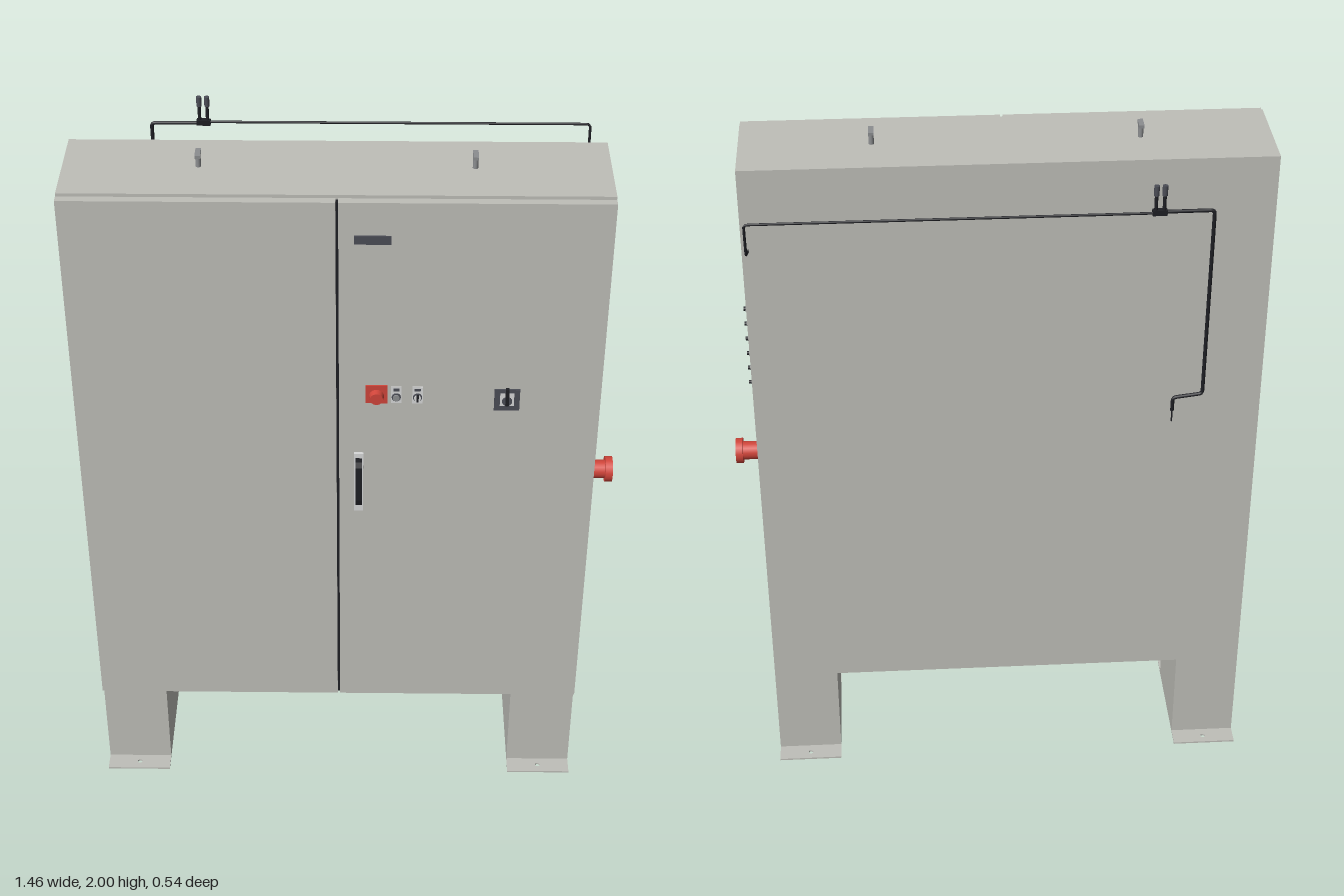
import * as THREE from 'three';

const mat = (name, color, extra = {}) => {
  const m = new THREE.MeshStandardMaterial({ color, ...extra });
  m.name = name;
  return m;
};

export function createModel() {
  const root = new THREE.Group();
  root.name = 'controlCabinet';

  const grey = mat('cabinetGrey', 0xbfbfb9);
  const red = mat('switchRed', 0xd1453a);
  const black = mat('black', 0x1e1f24);
  const dark = mat('darkGrey', 0x4b4d56);
  const light = mat('lightGrey', 0xd8d9d9);
  const steel = mat('steel', 0x8c8e90);

  const add = (name, geo, material, x = 0, y = 0, z = 0, parent = root) => {
    const m = new THREE.Mesh(geo, material);
    m.name = name;
    m.position.set(x, y, z);
    parent.add(m);
    return m;
  };
  // box given by its limits on each axis
  const box = (name, material, [x0, x1], [y0, y1], [z0, z1], parent = root) =>
    add(name, new THREE.BoxGeometry(x1 - x0, y1 - y0, z1 - z0), material,
      (x0 + x1) / 2, (y0 + y1) / 2, (z0 + z1) / 2, parent);
  // cylinder starting at a point and running along an axis
  const rod = (name, material, axis, r, len, [x, y, z], parent = root, rTop = r) => {
    const g = new THREE.CylinderGeometry(rTop, r, len, 24).translate(0, len / 2, 0);
    if (axis === 'x') g.rotateZ(-Math.PI / 2);
    if (axis === 'z') g.rotateX(Math.PI / 2);
    return add(name, g, material, x, y, z, parent);
  };
  const group = (name) => {
    const g = new THREE.Group();
    g.name = name;
    root.add(g);
    return g;
  };

  // Enclosure and the two doors with a dark seal showing in the gaps
  box('enclosure', grey, [-0.73, 0.66], [0.29, 1.96], [-0.07, 0.209]);
  box('doorSeal', dark, [-0.726, 0.656], [0.305, 1.947], [0.209, 0.213]);
  box('centreSeal', black, [-0.036, -0.029], [0.3, 1.95], [0.213, 0.228]);
  box('rightDoor', grey, [-0.73, -0.036], [0.297, 1.953], [0.212, 0.235]);
  box('leftDoor', grey, [-0.029, 0.66], [0.297, 1.953], [0.212, 0.235]);
  box('glandPlate', grey, [-0.53, 0.46], [0.281, 0.29], [-0.05, 0.19]);
  for (const x of [-0.035, 0.04]) {
    const g = group('cableGland');
    rod('glandNut', steel, 'y', 0.013, 0.008, [x, 0.273, 0.07], g);
    rod('glandBody', light, 'y', 0.01, 0.02, [x, 0.255, 0.07], g);
  }

  // Legs on drilled foot plates
  for (const [x0, x1] of [[-0.73, -0.545], [0.475, 0.66]]) {
    box('leg', grey, [x0, x1], [0.005, 0.29], [-0.07, 0.209]);
    const s = new THREE.Shape();
    s.moveTo(x0, -0.262).lineTo(x1, -0.262).lineTo(x1, 0.126).lineTo(x0, 0.126).closePath();
    for (const y of [-0.235, 0.1]) {
      s.holes.push(new THREE.Path().absarc((x0 + x1) / 2, y, 0.007, 0, Math.PI * 2, true));
    }
    const g = new THREE.ExtrudeGeometry(s, { depth: 0.005, bevelEnabled: false, curveSegments: 8 });
    add('footPlate', g.rotateX(-Math.PI / 2), grey);
  }

  // T-shaped lifting bolts
  for (const x of [-0.385, 0.315]) {
    const g = group('liftingBolt');
    rod('boltStem', steel, 'y', 0.007, 0.036, [x, 1.96, 0.067], g);
    box('boltBar', steel, [x - 0.007, x + 0.007], [1.992, 2], [0.047, 0.088], g);
  }

  // Door fittings
  box('namePlate', dark, [0.01, 0.104], [1.836, 1.86], [0.235, 0.239]);

  const stop = group('emergencyStop');
  box('stopPlate', red, [0.041, 0.099], [1.35, 1.406], [0.235, 0.239], stop);
  rod('stopStem', dark, 'z', 0.014, 0.01, [0.07, 1.378, 0.238], stop);
  rod('stopHead', red, 'z', 0.02, 0.016, [0.07, 1.378, 0.246], stop, 0.017);

  for (const [x, twist] of [[0.122, false], [0.178, true]]) {
    const g = group('controlButton');
    box('buttonPlate', light, [x - 0.014, x + 0.014], [1.35, 1.402], [0.235, 0.238], g);
    rod('buttonRing', dark, 'z', 0.012, 0.004, [x, 1.37, 0.237], g);
    rod('buttonCap', twist ? light : steel, 'z', 0.009, 0.007, [x, 1.37, 0.238], g);
    box('buttonMark', dark, [x - 0.008, x + 0.008], [1.389, 1.397], [0.238, 0.239], g);
    if (twist) box('selectorLever', black, [x - 0.003, x + 0.003], [1.361, 1.379], [0.24, 0.249], g);
  }

  const iso = group('isolator');
  box('isolatorPlate', dark, [0.38, 0.447], [1.33, 1.396], [0.235, 0.24], iso);
  box('isolatorFace', light, [0.395, 0.432], [1.346, 1.385], [0.24, 0.241], iso);
  rod('isolatorHub', dark, 'z', 0.013, 0.006, [0.4135, 1.362, 0.24], iso);
  box('isolatorLever', black, [0.409, 0.418], [1.352, 1.403], [0.241, 0.251], iso);

  const handle = group('doorHandle');
  box('handlePlate', light, [0.011, 0.036], [0.99, 1.185], [0.235, 0.242], handle);
  const hs = new THREE.Shape();
  hs.moveTo(0.242, 1.02).lineTo(0.262, 1.025).lineTo(0.268, 1.045)
    .lineTo(0.268, 1.155).lineTo(0.26, 1.17).lineTo(0.242, 1.17).closePath();
  add('handleGrip', new THREE.ExtrudeGeometry(hs, { depth: 0.018, bevelEnabled: false })
    .rotateY(-Math.PI / 2), black, 0.033, 0, 0, handle);

  // Side sockets and the main switch
  for (let i = 0; i < 6; i++) {
    const y = 1.24 + i * 0.047;
    rod('sideSocket', steel, 'x', 0.007, 0.012, [0.66, y, 0.073]);
    rod('socketTip', black, 'x', 0.0055, 0.007, [0.671, y, 0.073]);
  }
  const main = group('mainSwitch');
  box('switchPlate', red, [0.66, 0.667], [0.973, 1.049], [0.035, 0.111], main);
  rod('switchShaft', red, 'x', 0.026, 0.046, [0.665, 1.011, 0.072], main);
  rod('switchKnob', red, 'x', 0.036, 0.02, [0.71, 1.011, 0.072], main);

  // Cable runs behind the cabinet
  const cable = (name, r, pts) => {
    const path = new THREE.CurvePath();
    const v = pts.map((p) => new THREE.Vector3(...p));
    let from = v[0];
    for (let i = 1; i < v.length; i++) {
      const end = i === v.length - 1;
      const back = v[i - 1].clone().sub(v[i]).setLength(0.01).add(v[i]);
      path.add(new THREE.LineCurve3(from, end ? v[i] : back));
      if (end) break;
      from = v[i + 1].clone().sub(v[i]).setLength(0.01).add(v[i]);
      path.add(new THREE.QuadraticBezierCurve3(back, v[i], from));
    }
    add(name, new THREE.TubeGeometry(path, 160, r, 8), black);
  };
  cable('longCable', 0.0035, [[-0.385, 1.91, -0.264], [0.635, 1.91, -0.264],
    [0.635, 1.82, -0.255], [0.635, 1.797, -0.195]]);
  cable('longCableEnd', 0.0015, [[0.635, 1.798, -0.197], [0.635, 1.787, -0.168]]);
  cable('dropCable', 0.005, [[-0.4, 1.91, -0.258], [-0.535, 1.91, -0.257],
    [-0.535, 1.365, -0.254], [-0.457, 1.355, -0.254], [-0.457, 1.315, -0.254]]);
  cable('dropCableEnd', 0.002, [[-0.457, 1.318, -0.254], [-0.457, 1.28, -0.253]]);

  // Twin plug joining the cables
  const plug = group('cablePlug');
  box('plugBase', black, [-0.415, -0.378], [1.904, 1.918], [-0.269, -0.253], plug);
  for (const x of [-0.407, -0.386]) {
    rod('plugStem', black, 'y', 0.0045, 0.05, [x, 1.915, -0.262], plug);
    rod('plugCap', dark, 'y', 0.007, 0.027, [x, 1.958, -0.262], plug);
  }
  return root;
}
